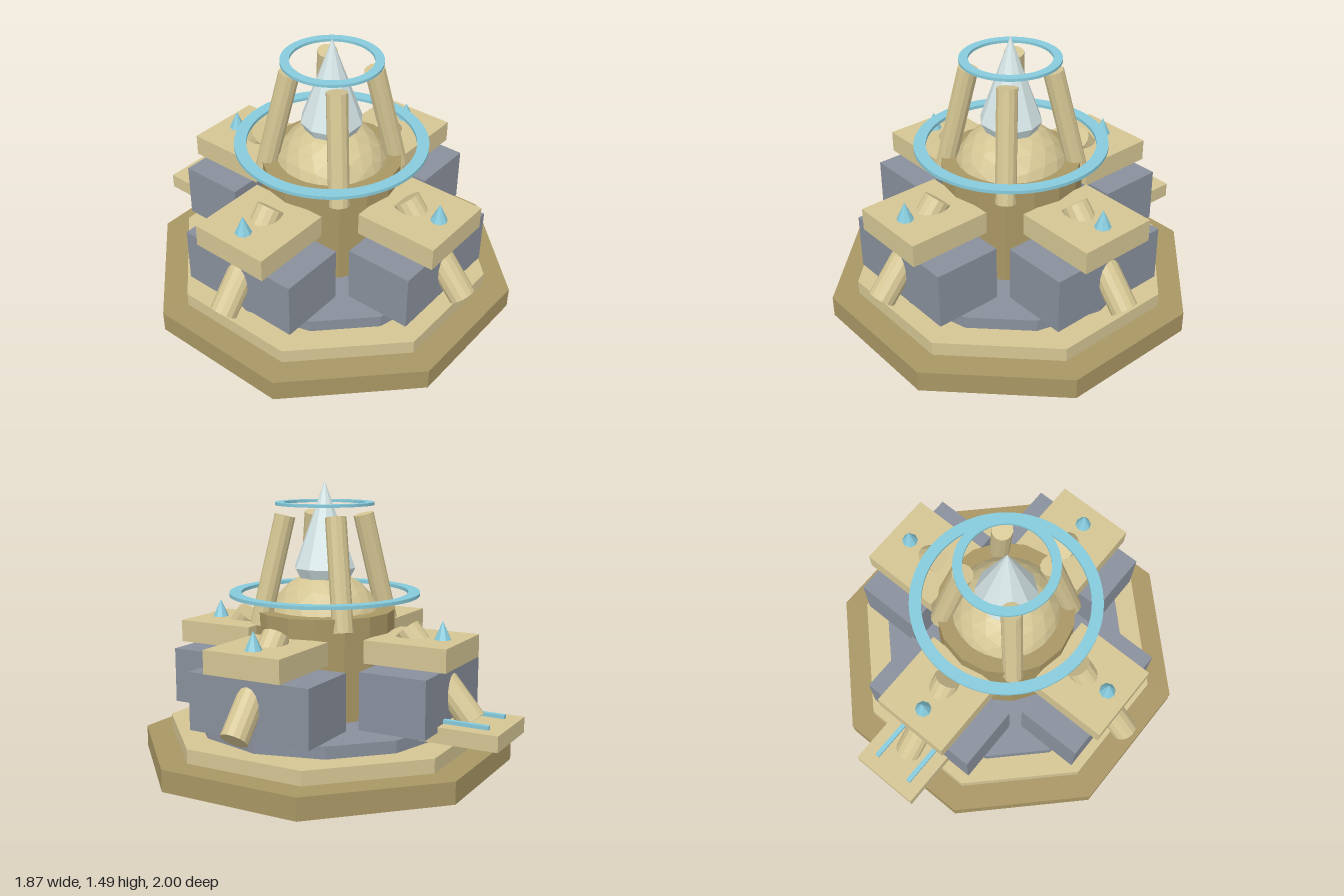
import * as THREE from 'three';

const material = (color) => new THREE.MeshStandardMaterial({ color, flatShading: true });
const sand = material(0xd4c593);
const darkSand = material(0xa99664);
const slate = material(0x89909c);
const pale = material(0xd6e6e7);
const blue = material(0x86cbdc);

function add(parent, name, geometry, mat, x = 0, y = 0, z = 0) {
  const mesh = new THREE.Mesh(geometry, mat);
  mesh.name = name;
  mesh.position.set(x, y, z);
  parent.add(mesh);
  return mesh;
}

// Prism between two heights
function prism(parent, name, radius, y0, y1, sides, mat, turn = 0) {
  const geometry = new THREE.CylinderGeometry(radius, radius, y1 - y0, sides);
  geometry.rotateY(turn);
  return add(parent, name, geometry, mat, 0, (y0 + y1) / 2, 0);
}

// Round bar between two points
function bar(parent, name, from, to, radius, sides, mat) {
  const axis = to.clone().sub(from);
  const mesh = add(parent, name, new THREE.CylinderGeometry(radius, radius, axis.length(), sides), mat);
  mesh.position.copy(from).add(to).multiplyScalar(0.5);
  mesh.quaternion.setFromUnitVectors(new THREE.Vector3(0, 1, 0), axis.normalize());
  return mesh;
}

// Flat horizontal ring centred on y
function flatRing(parent, name, inner, outer, y, thickness) {
  const shape = new THREE.Shape().absarc(0, 0, outer, 0, Math.PI * 2, false);
  shape.holes.push(new THREE.Path().absarc(0, 0, inner, 0, Math.PI * 2, true));
  const geometry = new THREE.ExtrudeGeometry(shape, { depth: thickness, bevelEnabled: false, curveSegments: 48 });
  geometry.rotateX(-Math.PI / 2);
  add(parent, name, geometry, blue, 0, y - thickness / 2, 0);
}

export function createModel() {
  const model = new THREE.Group();
  model.name = 'tower';
  const body = new THREE.Group();
  body.name = 'body';
  body.position.z = 0.066;
  model.add(body);

  // Stepped foundation
  prism(body, 'baseStep', 1.01, 0, 0.115, 8, darkSand, Math.PI / 8);
  prism(body, 'middleStep', 0.866, 0.115, 0.19, 8, sand, Math.PI / 8);
  prism(body, 'floorPlate', 0.697, 0.19, 0.255, 12, slate);

  // Core drum and dome
  prism(body, 'coreDrum', 0.375, 0.272, 0.81, 16, darkSand);
  add(body, 'dome', new THREE.IcosahedronGeometry(0.313, 3), sand, 0, 0.7, 0);

  // Crystal spire, widest above its foot
  const profile = [[0, 0.94], [0.12, 0.94], [0.165, 1.03], [0, 1.49]].map(([r, y]) => new THREE.Vector2(r, y));
  const spire = add(body, 'spire', new THREE.LatheGeometry(profile, 10), pale);
  spire.rotation.y = Math.PI / 2;

  // Four leaning posts on the diagonals
  for (const sx of [-1, 1]) {
    for (const sz of [-1, 1]) {
      bar(body, 'post', new THREE.Vector3(0.25 * sx, 0.735, 0.25 * sz),
        new THREE.Vector3(0.152 * sx, 1.31, 0.152 * sz), 0.055, 12, sand);
    }
  }

  // Halo rings
  flatRing(body, 'lowerRing', 0.447, 0.51, 0.894, 0.018);
  flatRing(body, 'upperRing', 0.215, 0.262, 1.37, 0.015);

  // Four identical wings around the core
  for (let i = 0; i < 4; i++) {
    const wing = new THREE.Group();
    wing.name = 'wing';
    wing.rotation.y = i * Math.PI / 2;
    body.add(wing);
    add(wing, 'wingBlock', new THREE.BoxGeometry(0.69, 0.298, 0.36), slate, 0, 0.423, 0.572);
    add(wing, 'wingRoof', new THREE.BoxGeometry(0.436, 0.12, 0.45), sand, 0, 0.645, 0.575);
    bar(wing, 'wingTube', new THREE.Vector3(0, 0.3, 0.862),
      new THREE.Vector3(0, 0.74, 0.487), 0.071, 14, sand);
    add(wing, 'roofSpike', new THREE.ConeGeometry(0.045, 0.098, 8), blue, 0, 0.752, 0.688);
  }

  // Rear landing pad with two rails
  add(model, 'landingPad', new THREE.BoxGeometry(0.39, 0.083, 0.415), sand, 0, 0.262, -0.793);
  for (const side of [-1, 1]) {
    add(model, 'padRail', new THREE.BoxGeometry(0.025, 0.02, 0.27), blue, side * 0.113, 0.314, -0.79);
  }

  return model;
}
